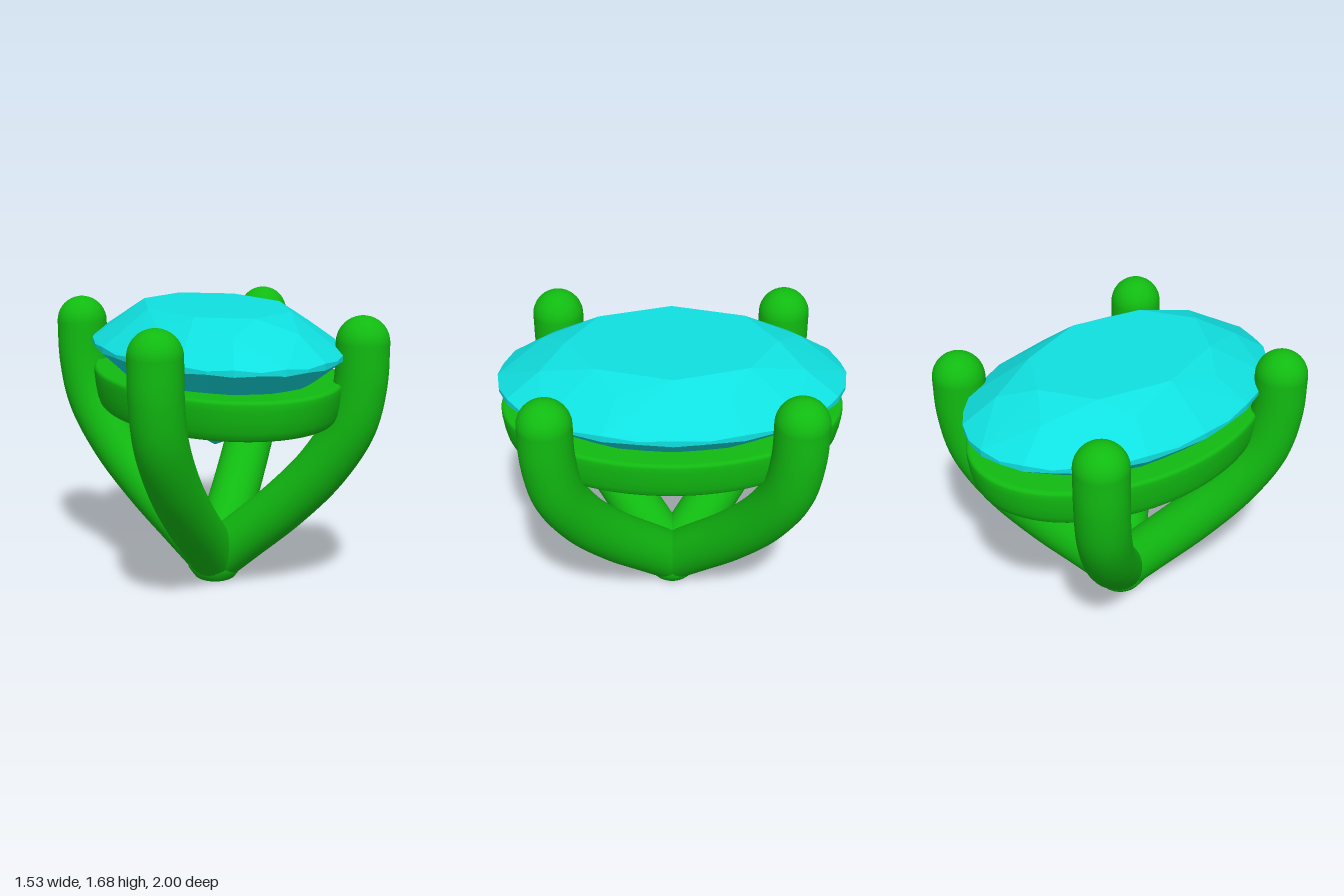
import * as THREE from 'three';
import { ConvexGeometry } from 'three/addons/geometries/ConvexGeometry.js';

const metal = new THREE.MeshStandardMaterial({ color: 0x11bb11 });
const stone = new THREE.MeshStandardMaterial({ color: 0x10e0e0, flatShading: true });

function add(parent, name, geometry, material) {
  const mesh = new THREE.Mesh(geometry, material);
  mesh.name = name;
  parent.add(mesh);
  return mesh;
}

const lathe = (points, segments) =>
  new THREE.LatheGeometry(points.map(([r, y]) => new THREE.Vector2(r, y)), segments);

// Points on an ellipse; wave lifts the height at every facet corner
function ellipse(count, rx, rz, y, turn = 0, wave = 0) {
  return Array.from({ length: count }, (_, i) => {
    const a = ((i + turn) / count) * Math.PI * 2;
    return new THREE.Vector3(rx * Math.cos(a), y + wave * Math.cos(16 * a), rz * Math.sin(a));
  });
}

// Oval brilliant cut: table, star tips, girdle, lower facets, culet
function createGem() {
  return new ConvexGeometry([
    ...ellipse(8, 0.415, 0.6, 1.685),
    ...ellipse(8, 0.5, 0.8, 1.61, 0.5),
    ...ellipse(32, 0.69, 1, 1.47, 0, 0.006),
    ...ellipse(32, 0.69, 1, 1.442, 0, -0.004),
    ...ellipse(8, 0.14, 0.2, 0.92, 0.5),
    new THREE.Vector3(0, 0.84, 0),
  ]);
}

// Curved claw with a domed tip
function createProng(sx, sz) {
  const prong = new THREE.Group();
  prong.name = 'prong';
  const profile = [[0, 0.12], [0.14, 0.305], [0.3, 0.52], [0.46, 0.78],
    [0.57, 1.05], [0.608, 1.3], [0.613, 1.53]];
  const path = new THREE.CatmullRomCurve3(profile.map(([x, y]) =>
    new THREE.Vector3(sx * x, y, sz * x * 0.688 / 0.613)));
  add(prong, 'prongStem', new THREE.TubeGeometry(path, 48, 0.152, 32), metal);
  const tip = add(prong, 'prongTip', new THREE.SphereGeometry(0.152, 32, 20), metal);
  tip.position.set(sx * 0.613, 1.53, sz * 0.688);
  return prong;
}

export function createModel() {
  const model = new THREE.Group();
  model.name = 'gemSetting';

  add(model, 'gem', createGem(), stone);

  for (const sx of [-1, 1]) for (const sz of [-1, 1]) model.add(createProng(sx, sz));

  // Oval support gallery with softened edges
  const gallery = add(model, 'galleryRing', lathe([
    [0.64, 1.08], [0.65, 1.078], [0.92, 1.078], [0.935, 1.08], [0.95, 1.093], [0.968, 1.13],
    [0.982, 1.19], [0.99, 1.25], [0.991, 1.285], [0.986, 1.3], [0.97, 1.306], [0.955, 1.306],
    [0.65, 1.306], [0.64, 1.304], [0.63, 1.295], [0.63, 1.28], [0.63, 1.105], [0.63, 1.09],
    [0.64, 1.08],
  ], 96), metal);
  gallery.scale.x = 0.69;

  // Flat foot where the four prongs meet
  add(model, 'foot', lathe([
    [0, 0], [0.095, 0], [0.105, 0.001], [0.12, 0.008], [0.132, 0.022],
    [0.165, 0.07], [0.17, 0.12], [0.14, 0.2], [0.08, 0.28], [0, 0.32],
  ], 48), metal);

  return model;
}
